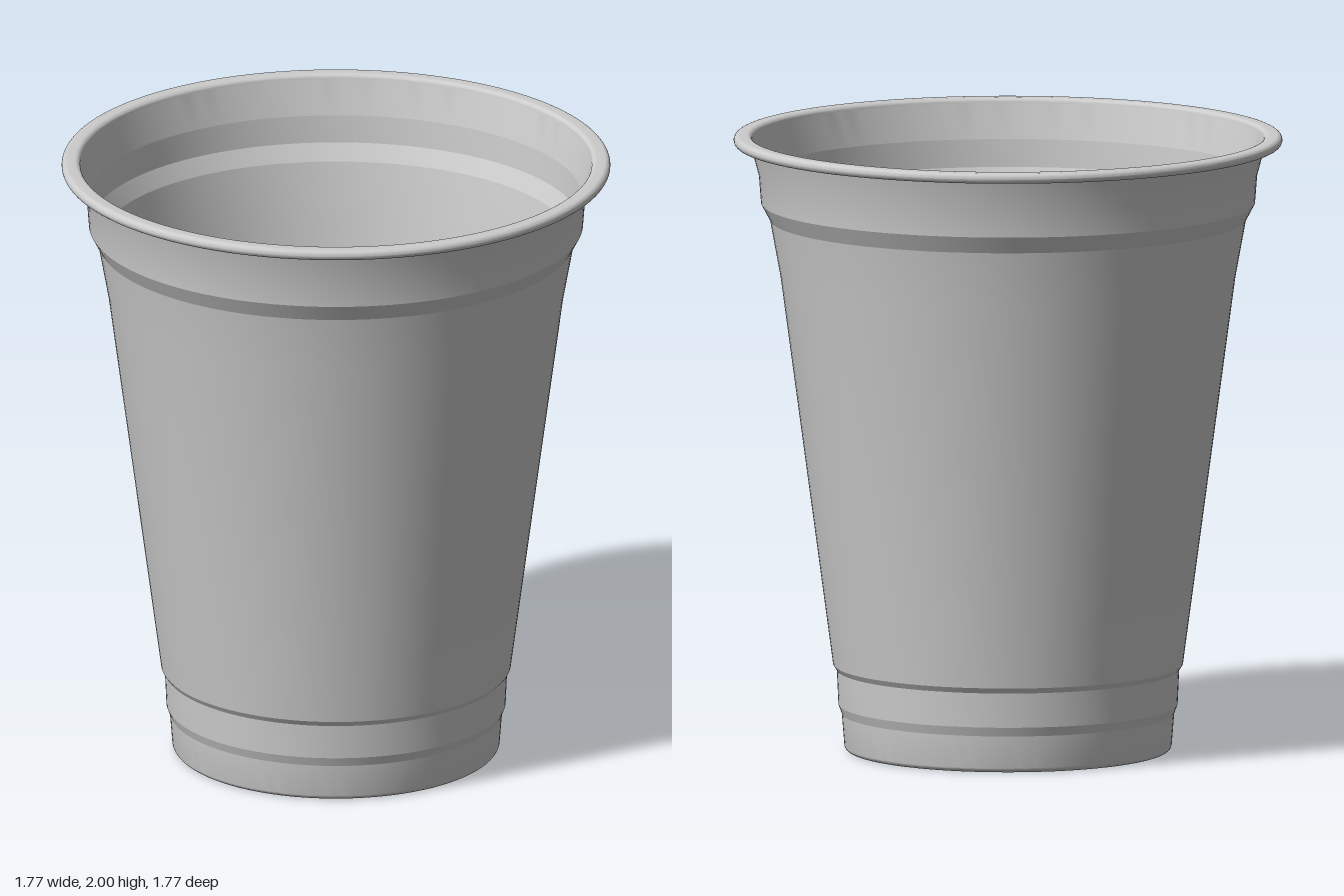
import * as THREE from 'three';
import { toCreasedNormals } from 'three/addons/utils/BufferGeometryUtils.js';

const SEGMENTS = 128;
const WALL = 0.008;

export function createModel() {
  const group = new THREE.Group();
  group.name = 'cup';
  const material = new THREE.MeshStandardMaterial({ color: 0xcccccc });

  const lathe = (name, points) => {
    const geometry = new THREE.LatheGeometry(points.map(([r, y]) => new THREE.Vector2(r, y)), SEGMENTS);
    const mesh = new THREE.Mesh(toCreasedNormals(geometry, 0.25), material);
    mesh.name = name;
    group.add(mesh);
  };

  // Quarter or half turn of a rounded edge
  const arc = (cx, cy, radius, from, to, steps) =>
    Array.from({ length: steps + 1 }, (_, i) => {
      const a = from + ((to - from) * i) / steps;
      return [cx + radius * Math.cos(a), cy + radius * Math.sin(a)];
    });

  // Underside with a recessed centre, then the rounded foot
  const base = [[0, 0.02], [0.405, 0.02], [0.425, 0]];
  const foot = arc(0.507, 0.02, 0.02, -Math.PI / 2, 0, 8);

  // Stepped wall: stacking rings, long taper, shoulder, flare
  const wall = [
    [0.535, 0.12], [0.546, 0.15], [0.551, 0.262], [0.563, 0.28],
    [0.732, 1.54], [0.766, 1.725], [0.795, 1.78], [0.802, 1.87], [0.828, 1.967],
  ];

  // Rounded lip
  const lip = arc(0.866, 1.983, 0.017, -Math.PI / 2, Math.PI / 2, 16);
  const lipInner = arc(0.84, 1.983, 0.017, Math.PI / 2, Math.PI, 8);

  // Inner skin follows the outer one back down to the floor
  const inside = wall.slice(0, -1).reverse().map(([r, y]) => [r - WALL, y]);
  const floor = [
    ...arc(0.507, 0.02, 0.02 - WALL, 0, -Math.PI / 2, 8),
    [0.425, WALL], [0.405, 0.02 + WALL], [0, 0.02 + WALL],
  ];

  lathe('outerShell', [...base, ...foot, ...wall]);
  lathe('rim', [wall[wall.length - 1], ...lip, ...lipInner, inside[0]]);
  lathe('innerShell', [...inside, ...floor]);
  return group;
}
